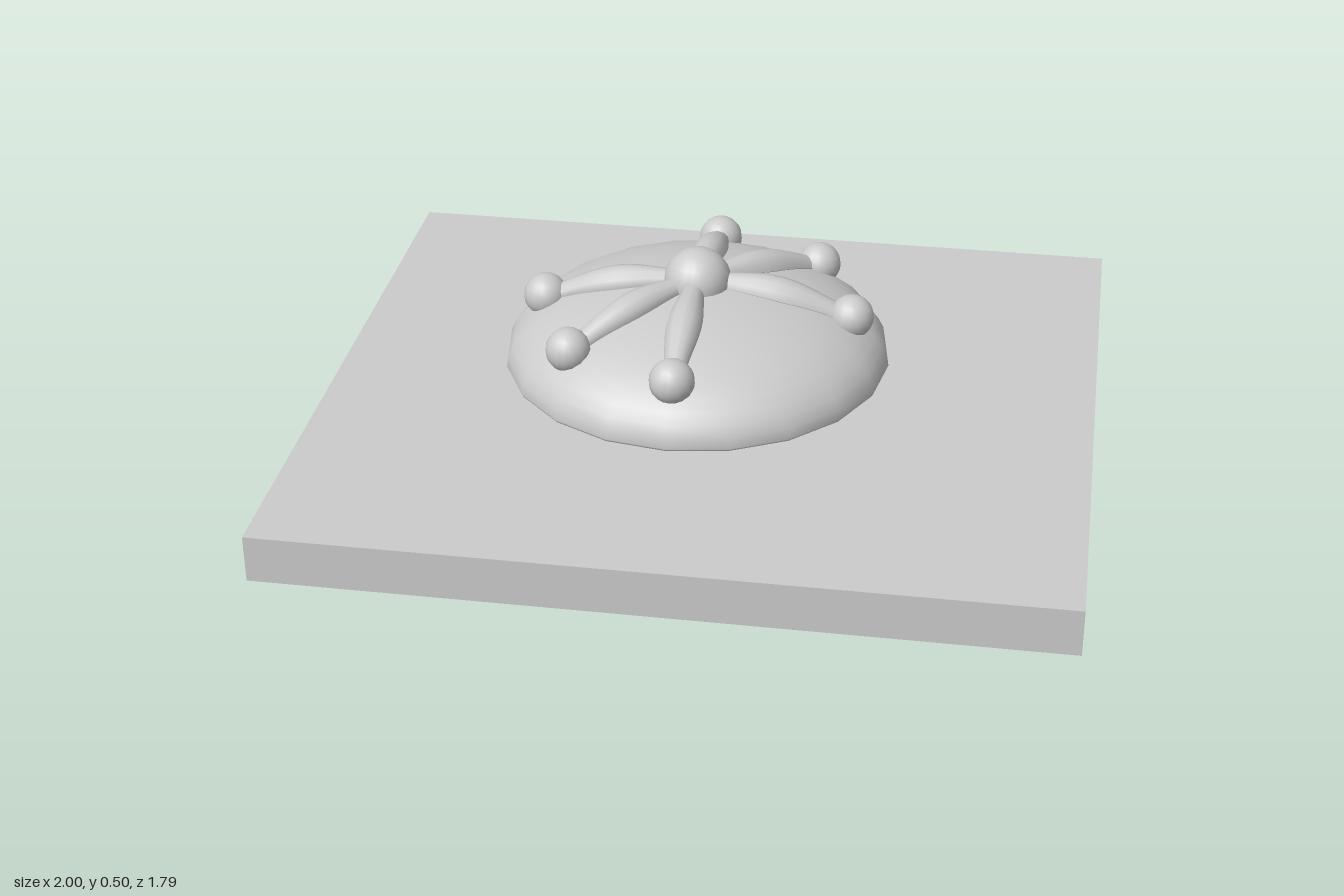
import * as THREE from 'three';

const RIM_Y = 0.2, RIM_R = 0.505, RISE = 0.21;
const domeY = r => RIM_Y + RISE * Math.sqrt(1 - (r / RIM_R) ** 2);

export function createModel() {
  const model = new THREE.Group();
  const material = new THREE.MeshStandardMaterial({ color: 0xcccccc });
  const add = (parent, name, geometry, x = 0, y = 0, z = 0) => {
    const mesh = new THREE.Mesh(geometry, material);
    mesh.name = name;
    mesh.position.set(x, y, z);
    parent.add(mesh);
    return mesh;
  };

  // Flat slab the loaf hovers just above
  add(model, 'baseSlab', new THREE.BoxGeometry(2, 0.124, 1.79), 0, 0.062, 0);

  const loaf = new THREE.Group();
  loaf.name = 'loaf';
  loaf.position.set(-0.047, 0, -0.04);
  model.add(loaf);

  // Domed bun: shallow rounded underside, taller elliptical top
  const profile = [];
  for (let i = 0; i <= 24; i++) {
    const a = -Math.PI / 2 + (i / 24) * Math.PI;
    const y = RIM_Y + Math.sin(a) * (a < 0 ? 0.055 : RISE);
    profile.push(new THREE.Vector2(Math.max(0, Math.cos(a) * RIM_R), y));
  }
  add(loaf, 'bun', new THREE.LatheGeometry(profile, 20));

  // Round knob on the crown
  add(loaf, 'crownKnob', new THREE.SphereGeometry(0.088, 20, 14), 0, 0.413, 0);

  // Strip swelling at its middle, bent to follow the dome
  const strip = new THREE.CylinderGeometry(1, 1, 1, 12, 12);
  const p = strip.attributes.position;
  for (let i = 0; i < p.count; i++) {
    const t = p.getY(i) + 0.5;
    const r = 0.04 + t * 0.35;
    const thick = 0.028 + 0.017 * Math.sin(Math.PI * t) ** 2;
    p.setXYZ(i, r, domeY(r) - p.getX(i) * thick, p.getZ(i) * thick);
  }
  strip.computeVertexNormals();
  const knob = new THREE.SphereGeometry(0.058, 16, 12);

  // Six arms: a cross plus one diagonal pair
  for (const degrees of [0, 45, 90, 180, 225, 270]) {
    const arm = new THREE.Group();
    arm.name = 'boneArm';
    arm.rotation.y = THREE.MathUtils.degToRad(degrees);
    add(arm, 'boneStrip', strip);
    add(arm, 'boneKnob', knob, 0.405, 0.338, 0);
    loaf.add(arm);
  }
  return model;
}
